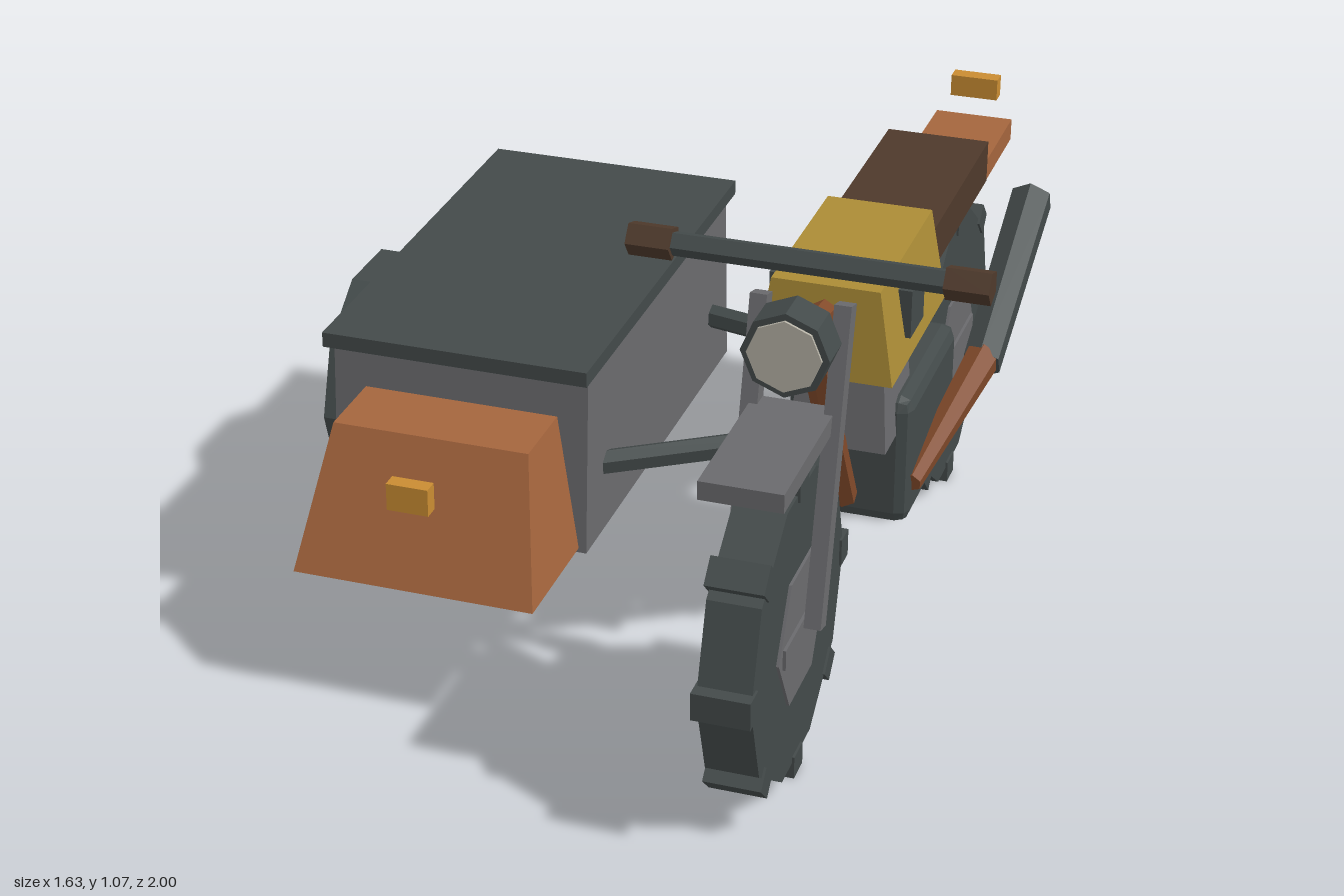
import * as THREE from 'three';
import { RoundedBoxGeometry } from 'three/addons/geometries/RoundedBoxGeometry.js';

const mat = (name, color) => {
  const m = new THREE.MeshStandardMaterial({ color, flatShading: true });
  m.name = name;
  return m;
};

export function createModel() {
  const dark = mat('dark metal', 0x434a4a);
  const grey = mat('grey metal', 0x6a6a6d);
  const rust = mat('rust paint', 0xa4653d);
  const pipe = mat('copper tube', 0x824a2a);
  const gold = mat('gold paint', 0xab8c36);
  const leather = mat('brown leather', 0x4e392b);
  const amber = mat('amber lamp', 0xc98c32);
  const glass = mat('lamp glass', 0xb4b0a4);

  const model = new THREE.Group();
  model.name = 'motorcycleWithSidecar';
  const BX = 0.45; // centre line of the bike

  const add = (name, geometry, material, x = 0, y = 0, z = 0, parent = model) => {
    const mesh = new THREE.Mesh(geometry, material);
    mesh.name = name;
    mesh.position.set(x, y, z);
    parent.add(mesh);
    return mesh;
  };

  // box given by its ranges; optional top ranges make a tapered block
  const block = (name, material, [x0, x1], [y0, y1], [z0, z1], topX = [x0, x1], topZ = [z0, z1]) => {
    const g = new THREE.BoxGeometry(1, 1, 1);
    const p = g.attributes.position;
    for (let i = 0; i < p.count; i++) {
      const top = p.getY(i) > 0;
      const xr = top ? topX : [x0, x1];
      const zr = top ? topZ : [z0, z1];
      p.setXYZ(i, xr[p.getX(i) > 0 ? 1 : 0], top ? y1 : y0, zr[p.getZ(i) > 0 ? 1 : 0]);
    }
    g.computeVertexNormals();
    return add(name, g, material);
  };

  // straight tube between two points
  const rod = (name, material, a, b, r0, r1 = r0, sides = 6) => {
    const start = new THREE.Vector3(...a);
    const end = new THREE.Vector3(...b);
    const dir = end.clone().sub(start);
    const mesh = add(name, new THREE.CylinderGeometry(r1, r0, dir.length(), sides), material);
    mesh.position.copy(start).add(end).multiplyScalar(0.5);
    mesh.quaternion.setFromUnitVectors(new THREE.Vector3(0, 1, 0), dir.normalize());
    return mesh;
  };

  const disc = (r, width, sides) => new THREE.CylinderGeometry(r, r, width, sides).rotateZ(Math.PI / 2);

  // wheels: ten-sided tyre, hexagonal hub, crossbar and optional lugs
  const wheel = (name, x, y, z, r, width, hubR, hubMat, lugs) => {
    const g = new THREE.Group();
    g.name = name;
    g.position.set(x, y, z);
    model.add(g);
    add('tyre', disc(r, width, 10), dark, 0, 0, 0, g);
    add('hub', disc(hubR, width + 0.012, 6), hubMat, 0, 0, 0, g);
    add('hubBar', new THREE.BoxGeometry(width + 0.025, 0.045, hubR * 1.68), hubMat, 0, 0, 0, g);
    for (let i = 0; i < lugs; i++) {
      const a = (i / lugs) * Math.PI * 2;
      const lug = add('treadLug', new THREE.BoxGeometry(width + 0.01, 0.05, 0.06), dark,
        0, Math.cos(a) * 0.32, Math.sin(a) * 0.32, g);
      lug.rotation.x = a;
    }
    return g;
  };
  wheel('frontWheel', BX, 0.345, 0.655, 0.325, 0.11, 0.16, grey, 8);
  wheel('rearWheel', BX, 0.345, -0.632, 0.325, 0.11, 0.16, grey, 8);
  const sideWheel = wheel('sidecarWheel', -0.735, 0.29, -0.212, 0.274, 0.1, 0.135, dark, 0);
  add('axleCap', new THREE.BoxGeometry(0.16, 0.045, 0.05), dark, 0, 0, 0, sideWheel);

  // fork, fender and handlebar
  for (const s of [-1, 1]) {
    const leg = add('forkLeg', new THREE.BoxGeometry(0.035, 0.655, 0.04), grey, BX + s * 0.085, 0.66, 0.565);
    leg.rotation.x = -Math.atan2(0.165, 0.63);
    const x = BX + s * 0.32;
    rod('grip', leather, [x - 0.045, 1.04, 0.45], [x + 0.045, 1.04, 0.45], 0.036, 0.036, 5);
  }
  rod('handlebar', dark, [0.1, 1.04, 0.45], [0.8, 1.04, 0.45], 0.026, 0.026, 5);
  block('frontFender', grey, [0.365, 0.535], [0.73, 0.77], [0.52, 0.885]);

  // headlight
  add('headlightShell', new THREE.CylinderGeometry(0.09, 0.09, 0.085, 8).rotateX(Math.PI / 2), dark, BX, 0.91, 0.563);
  add('headlightLens', new THREE.CylinderGeometry(0.076, 0.076, 0.009, 8).rotateX(Math.PI / 2), glass, BX, 0.91, 0.607);

  // tank with side plates, seat and tail
  block('fuelTank', gold, [0.303, 0.597], [0.73, 0.93], [-0.11, 0.335], [0.337, 0.563], [-0.098, 0.32]);
  block('tankPlates', dark, [0.3, 0.6], [0.78, 0.885], [0.1, 0.205]);
  block('seat', leather, [0.335, 0.565], [0.78, 0.875], [-0.615, -0.07]);
  block('rearFender', rust, [0.36, 0.54], [0.73, 0.78], [-0.98, -0.43]);
  block('tailLight', amber, [0.395, 0.505], [0.83, 0.88], [-1, -0.963]);

  // engine
  add('engineCase', new RoundedBoxGeometry(0.27, 0.3, 0.41, 1, 0.03), dark, BX, 0.43, -0.095);
  block('engineCylinder', grey, [0.345, 0.555], [0.5, 0.75], [-0.025, 0.2], [0.365, 0.535], [0, 0.17]);

  // frame tubes
  rod('topTube', pipe, [BX, 0.89, 0.44], [BX, 0.8, -0.15], 0.028);
  rod('downTube', pipe, [BX, 0.89, 0.44], [BX, 0.34, 0.12], 0.028);
  rod('rearTube', pipe, [BX, 0.8, -0.14], [BX, 0.38, -0.63], 0.028);

  // exhaust
  rod('exhaustPipe', pipe, [0.585, 0.375, 0.08], [0.635, 0.475, -0.345], 0.022, 0.04);
  rod('muffler', dark, [0.635, 0.465, -0.335], [0.635, 0.67, -0.795], 0.045, 0.05);

  // sidecar
  block('sidecarBody', grey, [-0.59, -0.025], [0.28, 0.685], [-0.56, 0.425], [-0.59, -0.025], [-0.54, 0.4]);
  block('sidecarLid', dark, [-0.6, -0.015], [0.68, 0.713], [-0.58, 0.437]);
  block('sidecarNose', rust, [-0.57, -0.042], [0.29, 0.585], [0.4, 0.7], [-0.52, -0.092], [0.4, 0.575]);
  block('sidecarLamp', amber, [-0.343, -0.253], [0.49, 0.55], [0.688, 0.722]);

  // struts joining the sidecar, bike and third wheel
  rod('frontStrut', dark, [-0.05, 0.427, 0.3], [0.4, 0.475, 0.105], 0.028);
  rod('rearStrut', dark, [-0.05, 0.427, -0.45], [0.4, 0.475, -0.265], 0.028);
  rod('wheelStrut', dark, [-0.735, 0.285, -0.212], [-0.55, 0.355, -0.212], 0.028);

  return model;
}
